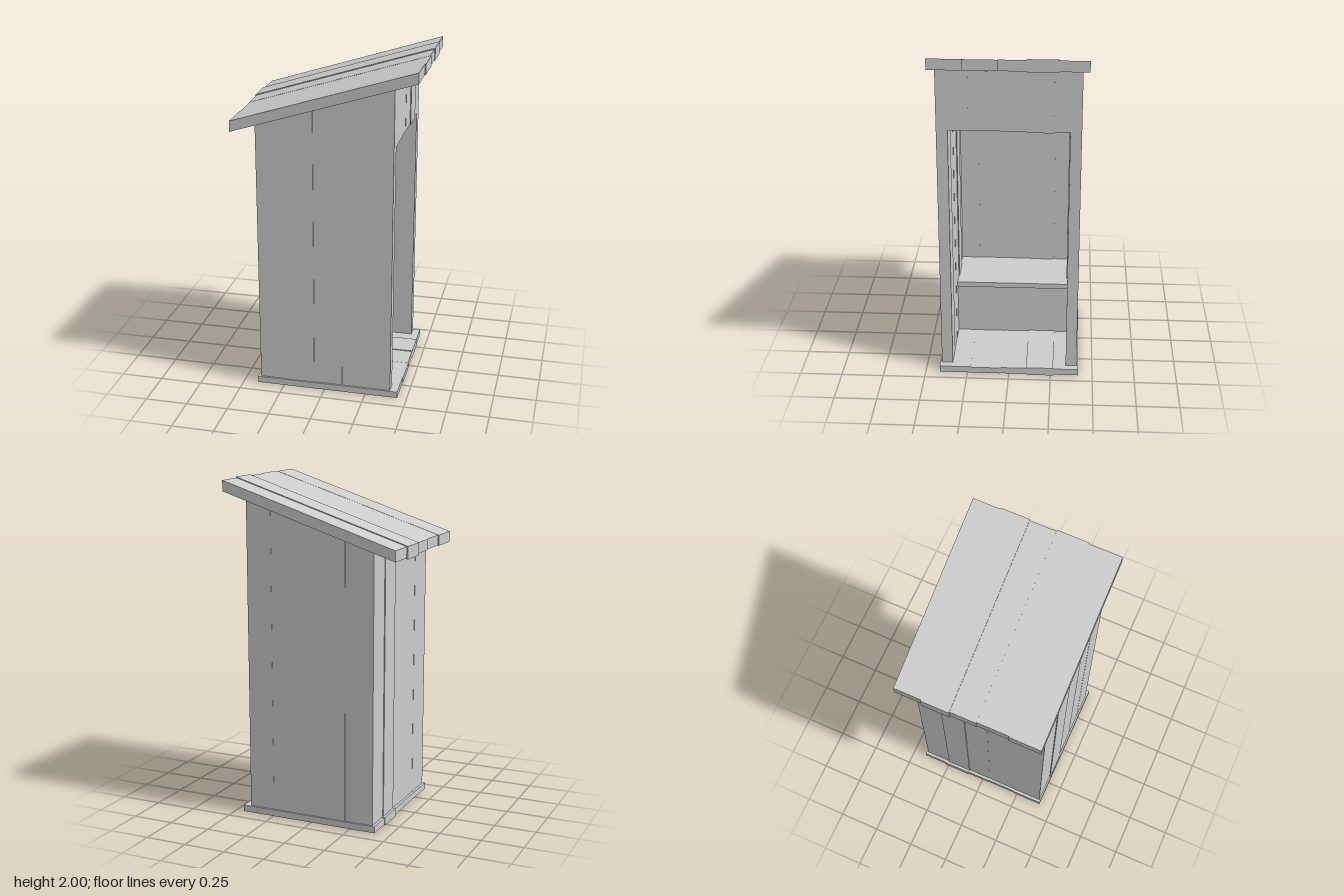
import * as THREE from 'three';

const material = new THREE.MeshStandardMaterial({ color: 0xcccccc });

// Height of the sloping roof underside at x
const roofY = (x) => 1.762 + 0.318 * x;

// Small per-plank variations: [extra thickness each side, extra start, extra end]
const JITTER = [[0, 0, 0], [0.005, 0.008, 0.004], [0, 0, 0], [-0.001, -0.005, 0.007], [0, 0, 0]];

// A board with a four-cornered outline in x-y, running from z0 to z1
function board(name, corners, z0, z1) {
  const shape = new THREE.Shape(corners.map(([x, y]) => new THREE.Vector2(x, y)));
  const geometry = new THREE.ExtrudeGeometry(shape, { depth: z1 - z0, bevelEnabled: false });
  geometry.translate(0, 0, z0);
  const mesh = new THREE.Mesh(geometry, material);
  mesh.name = name;
  return mesh;
}

// Upright board between x0 and x1, cut off along the roof slope
const upright = (name, x0, x1, y0, z0, z1) =>
  board(name, [[x0, y0], [x1, y0], [x1, roofY(x1)], [x0, roofY(x0)]], z0, z1);

// A group of planks laid side by side between the given bounds
function planks(name, bounds, make) {
  const group = new THREE.Group();
  group.name = name;
  for (let i = 0; i < bounds.length - 1; i++) {
    group.add(make(bounds[i], bounds[i + 1], JITTER[i]));
  }
  return group;
}

export function createModel() {
  const model = new THREE.Group();
  model.name = 'woodenShed';
  const acrossZ = [-0.34, -0.25, -0.1, 0.045, 0.225, 0.34];

  // Floor
  model.add(planks('floor', [-0.415, -0.265, -0.103, 0.048, 0.23, 0.415], (a, b, [t, s, e]) =>
    board('floorPlank', [
      [-0.41 - s / 2, 0.006 - t], [0.445 + e / 2, 0.006 - t],
      [0.445 + e / 2, 0.045 + t], [-0.41 - s / 2, 0.045 + t],
    ], a, b)));

  // Sloping roof with plumb-cut ends
  model.add(planks('roof', [-0.44, -0.275, -0.105, 0.052, 0.243, 0.435], (a, b, [t, s, e]) => {
    const x0 = -0.533 - s;
    const x1 = 0.532 + e;
    return board('roofPlank', [
      [x0, roofY(x0) - t], [x1, roofY(x1) - t],
      [x1, roofY(x1) + 0.063 + t], [x0, roofY(x0) + 0.063 + t],
    ], a, b);
  }));

  // Side walls
  for (const side of [1, -1]) {
    const name = side > 0 ? 'leftWall' : 'rightWall';
    model.add(planks(name, [-0.393, -0.22, -0.06, 0.11, 0.245, 0.4], (a, b, [t]) => {
      const inner = side * (0.34 - t);
      const outer = side * (0.405 + t);
      return upright('wallPlank', a, b, 0.04, Math.min(inner, outer), Math.max(inner, outer));
    }));
  }

  // Closed back wall
  model.add(planks('backWall', acrossZ, (a, b, [t]) =>
    upright('backPlank', -0.393 - t, -0.328 + t, 0.04, a, b)));

  // Panel above the open doorway
  model.add(planks('doorHeader', acrossZ, (a, b, [t, s]) =>
    upright('headerPlank', 0.335 - t, 0.4 + t, 1.54 - s / 2, a, b)));

  // Bench seat and its front panel
  const bench = new THREE.Group();
  bench.name = 'bench';
  bench.add(
    board('benchSeat', [[-0.33, 0.36], [0.02, 0.36], [0.02, 0.392], [-0.33, 0.392]], -0.34, 0.34),
    board('benchFront', [[-0.03, 0.04], [0.003, 0.04], [0.003, 0.36], [-0.03, 0.36]], -0.34, 0.34),
  );
  model.add(bench);

  return model;
}
